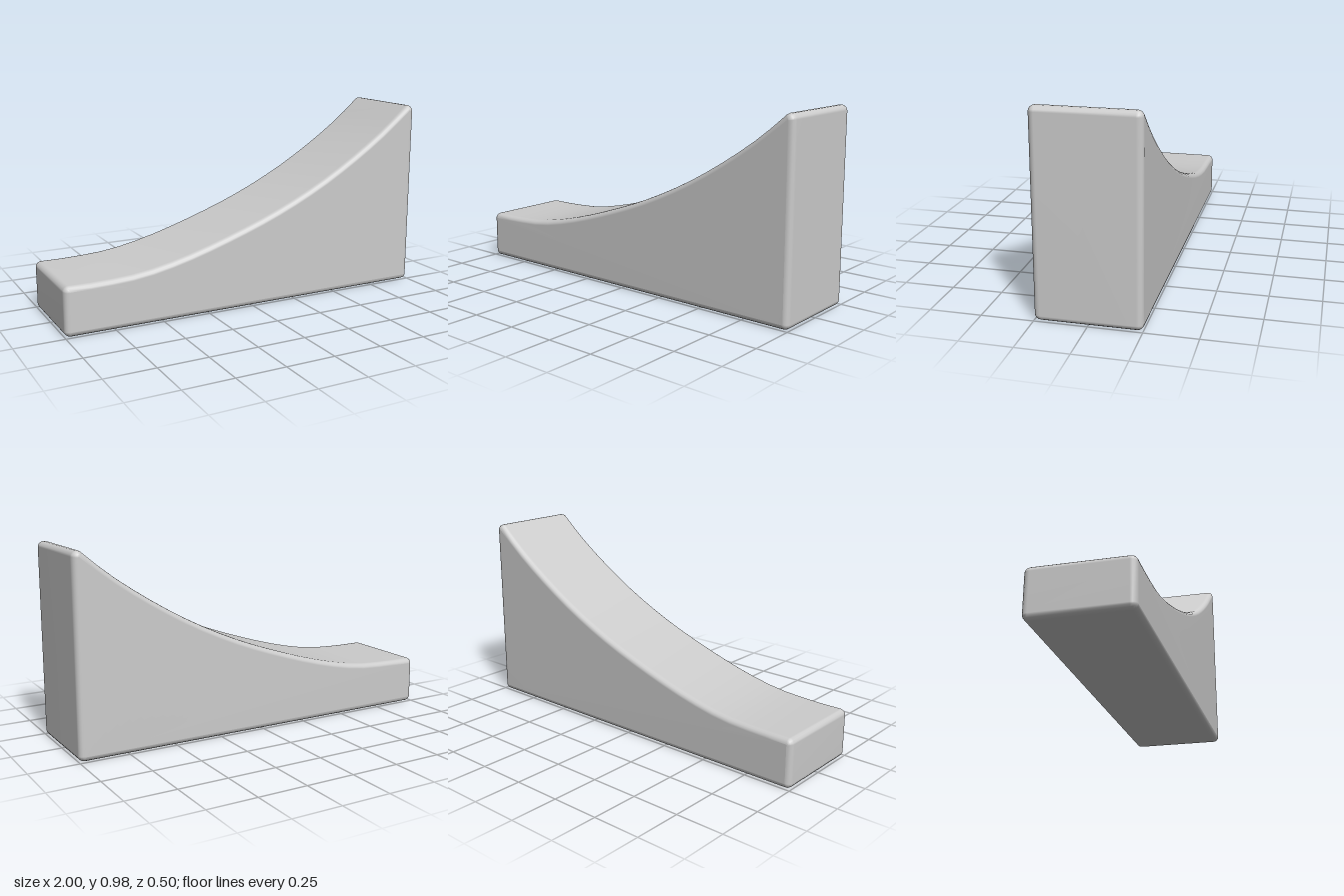
import * as THREE from 'three';
import { mergeVertices } from 'three/addons/utils/BufferGeometryUtils.js';

const BEVEL = 0.026; // edge rounding added by the extrusion
const CORE = 0.004;  // small corner radius of the inset profile
const DEPTH = 0.5;

// Tiny corner arc that the bevel grows into a full rounded corner
function corner(cx, cy, from, to, steps = 4) {
  return Array.from({ length: steps + 1 }, (_, i) => {
    const a = THREE.MathUtils.degToRad(from + (to - from) * i / steps);
    return new THREE.Vector2(cx + CORE * Math.cos(a), cy + CORE * Math.sin(a));
  });
}

export function createModel() {
  const group = new THREE.Group();
  group.name = 'curvedRamp';

  // Concave riding surface, from the tall end down to the low end
  const sweep = new THREE.SplineCurve([
    [0.97, 0.954], [0.817, 0.83], [0.616, 0.695], [0.394, 0.568], [0.142, 0.452],
    [-0.12, 0.357], [-0.373, 0.281], [-0.596, 0.235], [-0.8, 0.221], [-0.97, 0.22],
  ].map(([x, y]) => new THREE.Vector2(x, y + CORE)));

  // Side profile, counter-clockwise
  const profile = new THREE.Shape([
    ...corner(-0.97, 0.03, 180, 270),
    ...corner(0.97, 0.03, 270, 360),
    ...corner(0.97, 0.954, 0, 128, 5),
    ...sweep.getSpacedPoints(20).slice(1, -1),
    ...corner(-0.97, 0.22, 90, 180),
  ]);

  let geometry = new THREE.ExtrudeGeometry(profile, {
    depth: DEPTH - 2 * 0.03,
    bevelEnabled: true,
    bevelSize: BEVEL,
    bevelThickness: 0.03,
    bevelSegments: 4,
  });
  geometry.translate(0, 0, -(DEPTH - 0.06) / 2);

  // Weld so the rounded edges shade smoothly into the faces
  geometry.deleteAttribute('uv');
  geometry.deleteAttribute('normal');
  geometry = mergeVertices(geometry, 1e-5);
  geometry.computeVertexNormals();

  const ramp = new THREE.Mesh(geometry, new THREE.MeshStandardMaterial({ color: 0xcccccc }));
  ramp.name = 'rampBody';
  group.add(ramp);
  return group;
}
